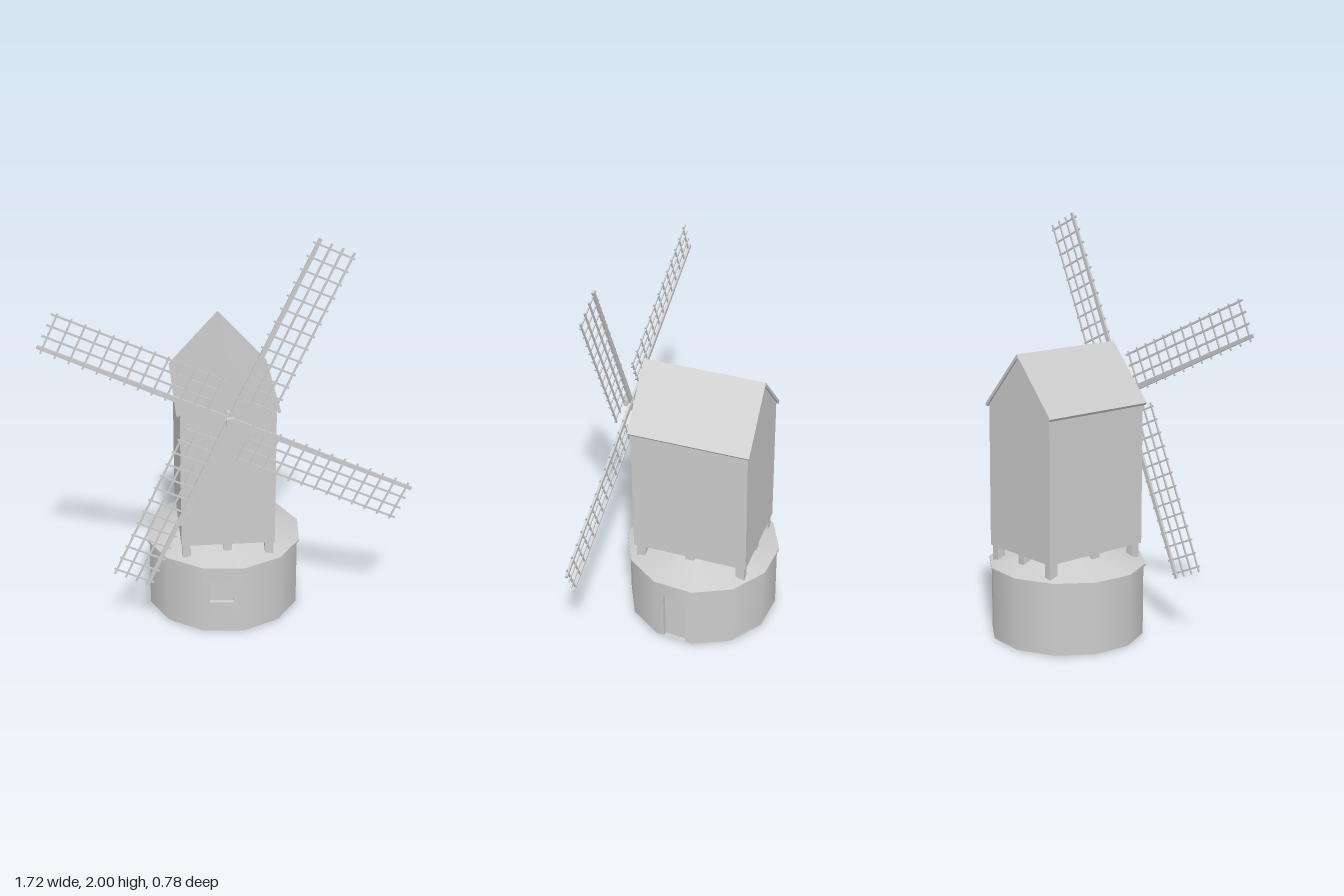
import * as THREE from 'three';
import { mergeGeometries } from 'three/addons/utils/BufferGeometryUtils.js';

const SIDES = 12, STEP = Math.PI * 2 / SIDES;
const START = THREE.MathUtils.degToRad(-10.6); // angle of the first wall corner
const R = 0.376, WALL_H = 0.355, APOTHEM = R * Math.cos(STEP / 2), HALF = R * Math.sin(STEP / 2);
const DOOR_PANEL = 0, WINDOW_PANEL = 3;
const HUB_Y = 1.14, SAIL_Z = 0.355;

const solid = new THREE.MeshStandardMaterial({ color: 0xcccccc });
const thin = new THREE.MeshStandardMaterial({ color: 0xcccccc, side: THREE.DoubleSide });

function add(parent, name, geometry, material = solid, x = 0, y = 0, z = 0) {
  const mesh = new THREE.Mesh(geometry, material);
  mesh.name = name;
  mesh.position.set(x, y, z);
  parent.add(mesh);
  return mesh;
}

const polygon = pts => new THREE.Shape(pts.map(p => new THREE.Vector2(...p)));

function extrude(pts, z0, z1) {
  return new THREE.ExtrudeGeometry(polygon(pts), { depth: z1 - z0, bevelEnabled: false }).translate(0, 0, z0);
}

// Turns +z onto the outward direction of a wall panel
const panelTurn = i => Math.PI / 2 - (START + (i + 0.5) * STEP);

// Open round wall of flat panels, shaded smoothly, with door and window openings
function wallGeometry() {
  const panels = [];
  for (let i = 0; i < SIDES; i++) {
    let pts = [[-HALF, 0], [HALF, 0], [HALF, WALL_H], [-HALF, WALL_H]];
    if (i === DOOR_PANEL) {
      pts = [[-HALF, 0], [-0.058, 0], [-0.058, 0.27], [0.058, 0.27], [0.058, 0],
        [HALF, 0], [HALF, WALL_H], [-HALF, WALL_H]];
    }
    const shape = polygon(pts);
    if (i === WINDOW_PANEL) {
      shape.holes.push(polygon([[-0.068, 0.16], [-0.068, 0.275], [0.048, 0.275], [0.048, 0.16]]));
    }
    panels.push(new THREE.ShapeGeometry(shape).translate(0, 0, APOTHEM).rotateY(panelTurn(i)));
  }
  const g = mergeGeometries(panels);
  const p = g.attributes.position;
  for (let i = 0; i < p.count; i++) {
    const n = new THREE.Vector3(p.getX(i), 0, p.getZ(i)).normalize();
    g.attributes.normal.setXYZ(i, n.x, 0, n.z);
  }
  return g;
}

// Box without its front face, set back into a wall panel
function recess(panel, x, y, w, h) {
  const depth = 0.022;
  const g = new THREE.BoxGeometry(w, h, depth);
  const index = Array.from(g.index.array);
  index.splice(24, 6);
  g.setIndex(index);
  return g.translate(x, y, APOTHEM - depth / 2).rotateY(panelTurn(panel));
}

// One sail along +x, lattice on its clockwise side
function createSail() {
  const sail = new THREE.Group();
  const spar = extrude([[0, -0.014], [0.945, -0.008], [0.945, 0.008], [0, 0.014]], -0.006, 0.006);
  add(sail, 'spar', spar);
  const bars = [];
  for (const v of [0.057, 0.113, 0.168]) {
    bars.push(new THREE.BoxGeometry(0.85, 0.009, 0.006).translate(0.52, -v, 0));
  }
  for (let i = 0; i < 13; i++) {
    bars.push(new THREE.BoxGeometry(0.008, 0.205, 0.006).translate(0.115 + i * 0.067, -0.079, 0.002));
  }
  add(sail, 'lattice', mergeGeometries(bars));
  return sail;
}

export function createModel() {
  const model = new THREE.Group();
  model.name = 'postMill';

  // Roundhouse
  const base = new THREE.Group();
  base.name = 'roundhouse';
  base.position.z = -0.01;
  model.add(base);
  add(base, 'roundWall', wallGeometry(), thin);
  add(base, 'door', recess(DOOR_PANEL, 0, 0.135, 0.116, 0.27), thin);
  add(base, 'window', recess(WINDOW_PANEL, -0.01, 0.2175, 0.116, 0.115), thin);
  const turn = Math.PI / 2 - START;
  const cone = new THREE.ConeGeometry(0.387, 0.145, SIDES, 1, true).rotateY(turn);
  add(base, 'roundRoof', cone, thin, 0, 0.43, 0);
  const eave = new THREE.CylinderGeometry(0.387, 0.387, 0.01, SIDES, 1, true).rotateY(turn);
  add(base, 'roundEave', eave, thin, 0, 0.353, 0);

  // Short posts carrying the mill body
  for (const x of [-0.2, 0, 0.2]) {
    for (const z of [-0.275, -0.015, 0.24]) {
      if (x === 0 && z === -0.015) continue;
      add(model, 'supportPost', new THREE.BoxGeometry(0.04, 0.09, 0.045), solid, x, 0.4, z);
    }
  }

  // Body with gables
  const body = [[-0.225, 0.44], [0.225, 0.44], [0.225, 1.145], [0, 1.395], [-0.225, 1.145]];
  add(model, 'millBody', extrude(body, -0.305, 0.275));

  // Pitched roof
  const roof = [[0, 1.41], [-0.243, 1.14], [-0.235, 1.128], [0, 1.39], [0.235, 1.128], [0.243, 1.14]];
  add(model, 'roof', extrude(roof, -0.315, 0.285));

  // Windshaft and hub
  const shaft = new THREE.CylinderGeometry(0.013, 0.013, 0.1, 12).rotateX(Math.PI / 2);
  add(model, 'windshaft', shaft, solid, 0, HUB_Y, 0.31);
  add(model, 'hub', new THREE.BoxGeometry(0.036, 0.036, 0.045), solid, 0, HUB_Y, 0.3675);

  // Four sails
  for (let i = 0; i < 4; i++) {
    const sail = createSail();
    sail.name = 'sail';
    sail.position.set(0, HUB_Y, SAIL_Z);
    sail.rotation.z = THREE.MathUtils.degToRad(65.3 + i * 90);
    model.add(sail);
  }
  return model;
}
